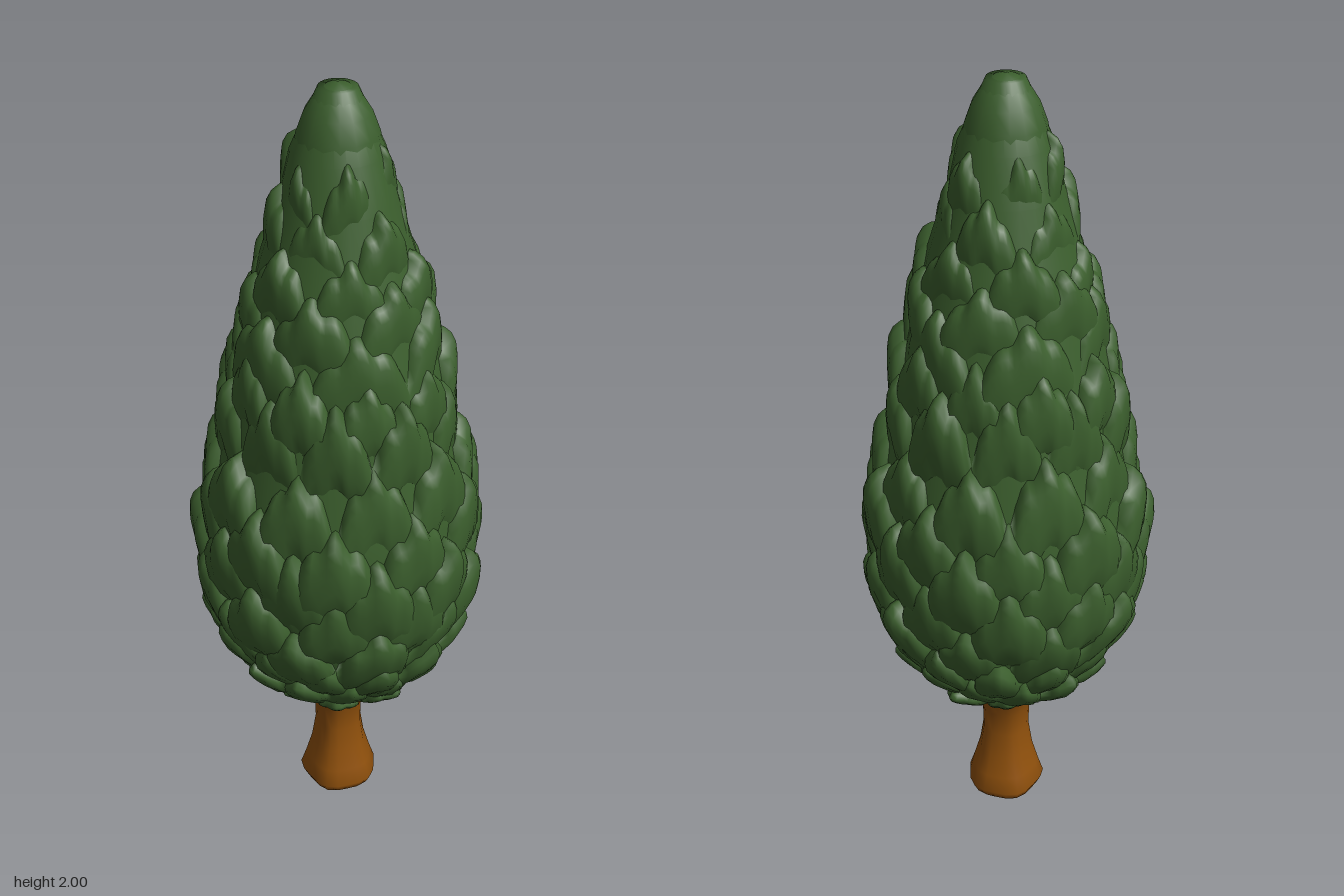
import * as THREE from 'three';
import { mergeVertices } from 'three/addons/utils/BufferGeometryUtils.js';

// Outer outline of the foliage as [radius, height]
const OUTLINE = [[0.08, 0.34], [0.17, 0.375], [0.265, 0.47], [0.325, 0.58], [0.357, 0.7], [0.362, 0.88],
  [0.35, 1.0], [0.31, 1.14], [0.285, 1.29], [0.24, 1.45], [0.2, 1.59], [0.15, 1.73], [0.12, 1.84], [0.05, 1.98]];

// Clump section from the sunken base to the rolled-in top: [share of height, inset]
const SECTION = [[0, 0.07], [0.15, 0.042], [0.32, 0.02], [0.5, 0.006], [0.68, 0], [0.82, 0],
  [0.91, 0.008], [0.97, 0.024], [1, 0.05], [0.98, 0.09]];

function radiusAt(y) {
  for (let i = 1; i < OUTLINE.length; i++) {
    const [r0, y0] = OUTLINE[i - 1], [r1, y1] = OUTLINE[i];
    if (y <= y1) return THREE.MathUtils.lerp(r0, r1, Math.max(0, (y - y0) / (y1 - y0)));
  }
  return 0.05;
}

// Weld the seam so that normals run smoothly all round
function smooth(geo) {
  geo.deleteAttribute('uv');
  geo.deleteAttribute('normal');
  const welded = mergeVertices(geo);
  welded.computeVertexNormals();
  return welded;
}

// A ring of leaf clumps, each with a scalloped top edge
function leafRing(top, height, count, drop, phase, seed) {
  const geo = new THREE.LatheGeometry(SECTION.map(([v], i) => new THREE.Vector2(1, v + i)), 120);
  const pos = geo.attributes.position;
  for (let i = 0; i < pos.count; i++) {
    const [v, inset] = SECTION[i % SECTION.length];
    const a = Math.atan2(pos.getX(i), pos.getZ(i));
    const turn = (count * a) / 2 + phase;
    const clump = Math.abs(Math.cos(turn));
    const scallop = Math.abs(Math.cos(3 * turn));
    const edge = top + 0.018 * Math.sin(2 * a + seed * 1.7) - drop * (1 - clump) - drop * 0.25 * (1 - scallop);
    const y = edge - height * (1 - v);
    // Above the widest level the clumps stand steeper than the outline
    const level = y > 0.9 ? THREE.MathUtils.lerp(y, Math.max(0.9, edge - 0.07), 0.5) : y;
    const r = Math.max(0.02, radiusAt(level) - inset - 0.028 * (1 - clump) - 0.007 * (1 - scallop)
      + 0.007 * Math.sin(3 * a + seed * 2.3));
    pos.setXYZ(i, r * Math.sin(a), y, r * Math.cos(a));
  }
  return smooth(geo);
}

export function createModel() {
  const group = new THREE.Group();
  group.name = 'coniferTree';
  const leafGreen = new THREE.MeshStandardMaterial({ color: 0x3b5e2d });
  leafGreen.name = 'leafGreen';
  const barkBrown = new THREE.MeshStandardMaterial({ color: 0x8f500c });
  barkBrown.name = 'barkBrown';
  const add = (name, geo, mat) => {
    const mesh = new THREE.Mesh(geo, mat);
    mesh.name = name;
    group.add(mesh);
  };

  // Trunk: flared at both ends, lightly fluted
  const trunkProfile = [[0, 0], [0.088, 0], [0.1, 0.025], [0.086, 0.07], [0.07, 0.13], [0.06, 0.2],
    [0.062, 0.27], [0.085, 0.33], [0.1, 0.37], [0, 0.42]].map(p => new THREE.Vector2(...p));
  const trunk = new THREE.LatheGeometry(trunkProfile, 20);
  const pos = trunk.attributes.position;
  for (let i = 0; i < pos.count; i++) {
    const k = 1 + 0.04 * Math.cos(5 * Math.atan2(pos.getX(i), pos.getZ(i)));
    pos.setX(i, pos.getX(i) * k);
    pos.setZ(i, pos.getZ(i) * k);
  }
  add('trunk', smooth(trunk), barkBrown);

  // Inner foliage body, closed at the bottom
  const body = [[0, 0.345], ...OUTLINE.map(([r, y]) => [r * 0.88, y + 0.01]), [0, 1.99]];
  add('foliageCore', new THREE.LatheGeometry(body.map(p => new THREE.Vector2(...p)), 24), leafGreen);

  // Overlapping rings from the bottom up: [top, height, clump count, drop between clumps]
  const rings = [
    [0.47, 0.13, 10, 0.04], [0.56, 0.16, 14, 0.06], [0.67, 0.2, 14, 0.08], [0.77, 0.24, 10, 0.1],
    [0.87, 0.28, 10, 0.12], [0.97, 0.28, 10, 0.12], [1.07, 0.28, 10, 0.12], [1.19, 0.28, 10, 0.12],
    [1.34, 0.28, 10, 0.12], [1.42, 0.26, 10, 0.11], [1.52, 0.26, 6, 0.11], [1.59, 0.24, 6, 0.1],
    [1.66, 0.22, 6, 0.1], [1.77, 0.22, 6, 0.1], [1.87, 0.22, 6, 0.09],
  ];
  rings.forEach(([top, height, count, drop], i) => {
    const phase = i % 2 ? 0 : Math.PI / 2;
    add('leafRing' + (i + 1), leafRing(top, height, count, drop, phase, i), leafGreen);
  });

  // Rounded tip
  const tip = new THREE.SphereGeometry(1, 16, 12);
  tip.scale(0.105, 0.22, 0.105);
  tip.translate(0, 1.78, 0);
  add('treeTip', tip, leafGreen);
  return group;
}
